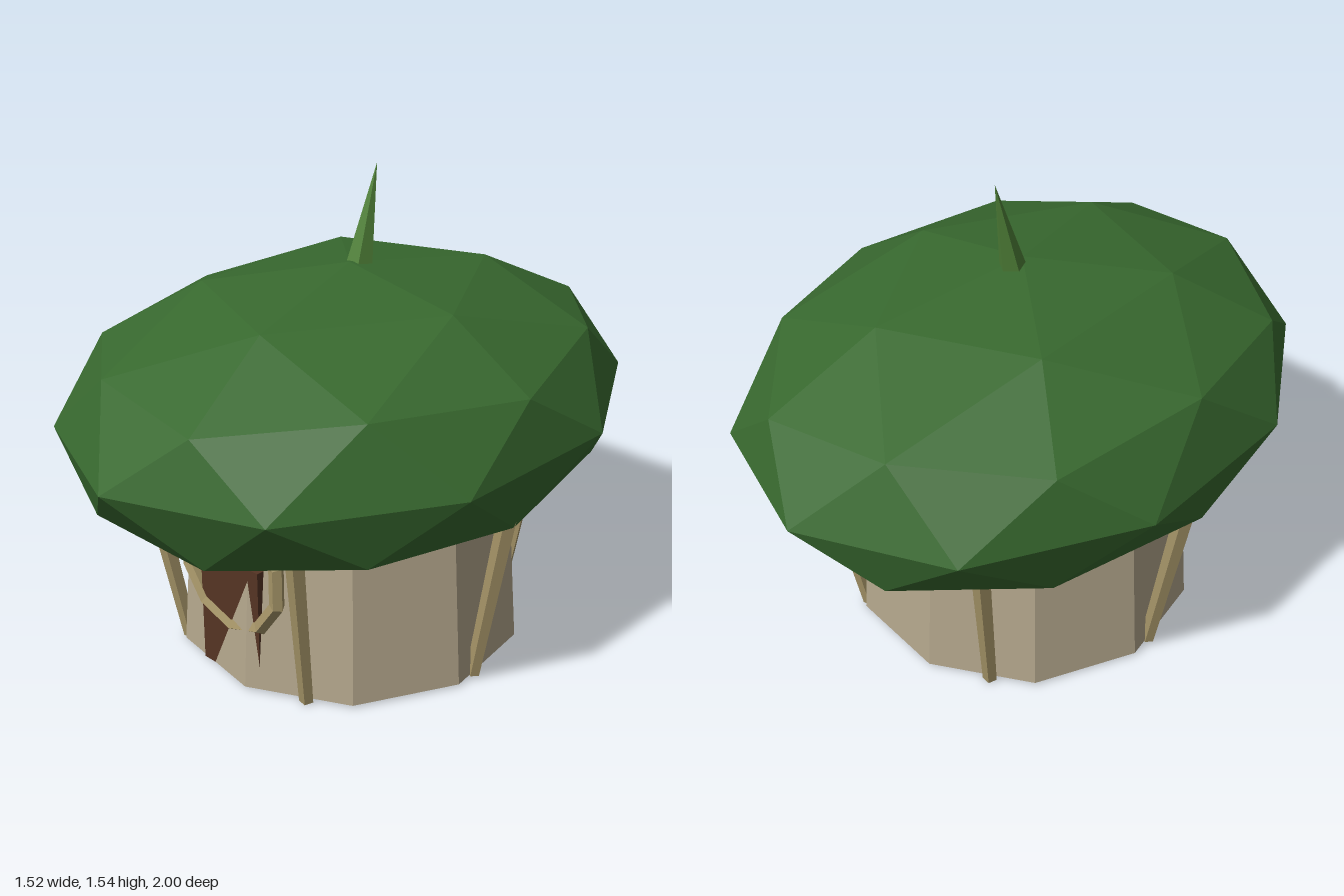
import * as THREE from 'three';

const paint = (name, color) => {
  const m = new THREE.MeshStandardMaterial({ color });
  m.name = name;
  return m;
};

// Faceted normals for the low-poly look
function faceted(geometry) {
  const g = geometry.index ? geometry.toNonIndexed() : geometry;
  g.computeVertexNormals();
  return g;
}

export function createModel() {
  const leafGreen = paint('leaf green', 0x38692f);
  const stemGreen = paint('stem green', 0x4f8038);
  const wallBeige = paint('wall beige', 0xb3a68c);
  const woodTan = paint('wood tan', 0xa69568);
  const doorBrown = paint('door brown', 0x553424);

  const model = new THREE.Group();
  model.name = 'treeHut';
  const add = (name, geometry, material, parent = model) => {
    const mesh = new THREE.Mesh(faceted(geometry), material);
    mesh.name = name;
    parent.add(mesh);
    return mesh;
  };

  // Canopy: icosphere with a corner at the top, squashed to an ellipsoid
  const ico = new THREE.IcosahedronGeometry(1, 1);
  ico.rotateZ(-Math.atan(2 / (1 + Math.sqrt(5))));
  ico.scale(0.8, 0.44, 1);
  add('canopy', ico, leafGreen).position.y = 0.81;

  // Stem on top, leaning back
  const stemGeo = new THREE.ConeGeometry(0.046, 0.34, 5);
  stemGeo.rotateY(Math.PI / 5);
  stemGeo.translate(0, 0.17, 0);
  const stem = add('stem', stemGeo, stemGreen);
  stem.position.set(0, 1.21, -0.04);
  stem.rotation.x = -0.24;

  // Ten-sided wall, slightly tapered
  const wall = new THREE.CylinderGeometry(0.512, 0.57, 0.78, 10, 1, false, Math.PI / 20);
  add('wall', wall, wallBeige).position.y = 0.4;

  // Door slab, partly sunk into the wall
  add('door', new THREE.BoxGeometry(0.26, 0.41, 0.05), doorBrown).position.set(0, 0.215, 0.511);

  // Ring around the doorway
  const ring = new THREE.TorusGeometry(0.21, 0.025, 5, 10);
  ring.rotateZ(Math.PI / 10);
  add('doorRing', ring, woodTan).position.set(0, 0.395, 0.522);

  // Six props leaning outwards from the wall's foot into the canopy
  for (let i = 0; i < 6; i++) {
    const propGeo = new THREE.CylinderGeometry(0.034, 0.024, 0.76, 5);
    propGeo.translate(0, 0.38, 0);
    const pivot = new THREE.Group();
    pivot.name = 'prop' + (i + 1);
    pivot.rotation.y = Math.PI / 6 + i * Math.PI / 3;
    const beam = add('propBeam', propGeo, woodTan, pivot);
    beam.position.set(0, 0.005, 0.547);
    beam.rotation.x = 0.18;
    model.add(pivot);
  }

  return model;
}
